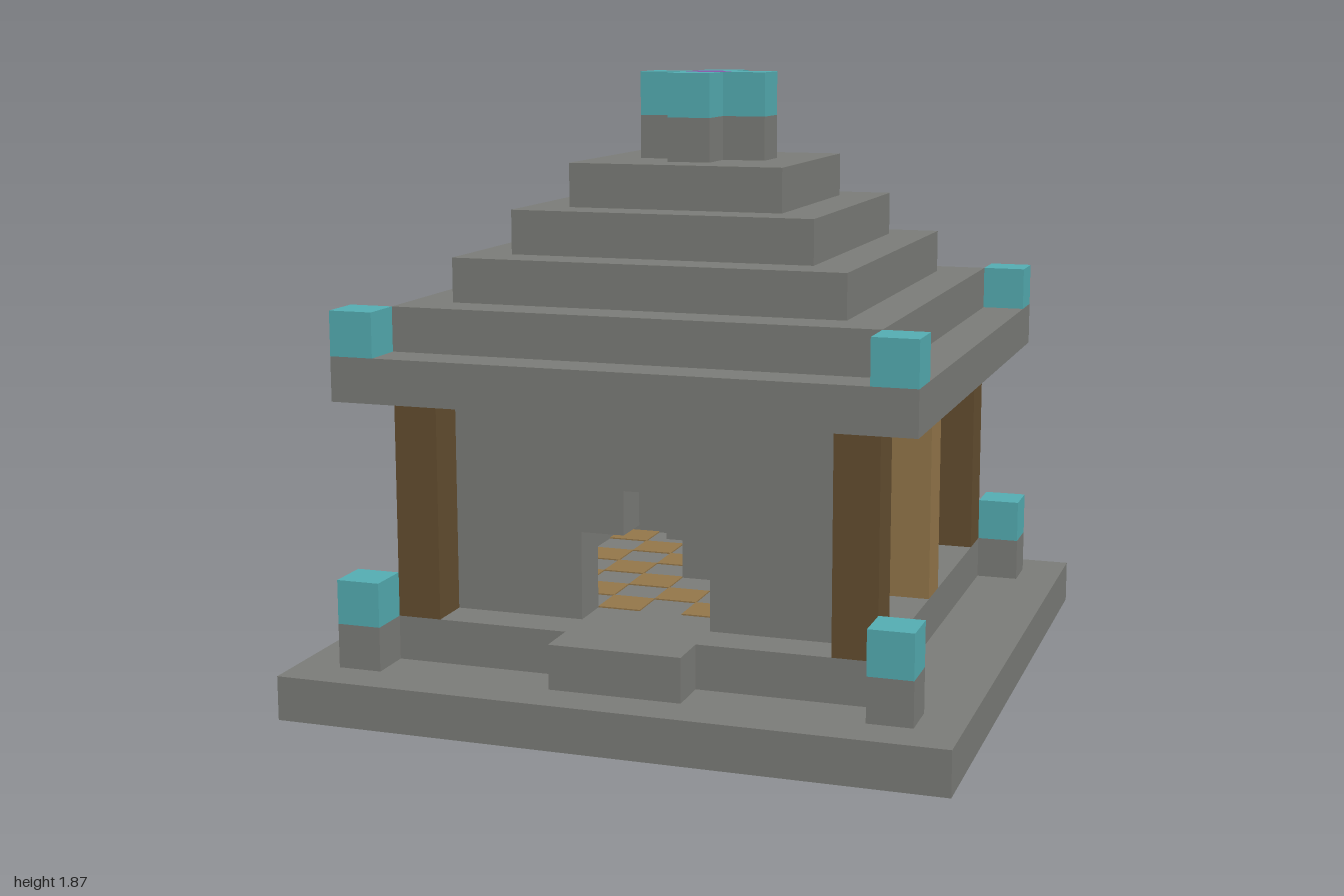
import * as THREE from 'three';

const U = 2 / 15; // one building block

const mat = (name, color) => {
  const m = new THREE.MeshStandardMaterial({ color });
  m.name = name;
  return m;
};

export function createModel() {
  const model = new THREE.Group();
  model.name = 'temple';
  const stone = mat('stone', 0x7c7d79);
  const teal = mat('teal', 0x55aeb3);
  const purple = mat('purple', 0x8757a8);
  const darkWood = mat('darkWood', 0x644e30);
  const lightWood = mat('lightWood', 0x94774a);

  // box in block units: centre x and z, bottom y, then size
  const box = (name, m, x, y, z, w, h, d, parent = model) => {
    const mesh = new THREE.Mesh(new THREE.BoxGeometry(w * U, h * U, d * U), m);
    mesh.position.set(x * U, (y + h / 2) * U, z * U);
    mesh.name = name;
    parent.add(mesh);
    return mesh;
  };
  const square = (half, Type = THREE.Shape) => new Type([
    [-half, -half], [half, -half], [half, half], [-half, half],
  ].map(([x, y]) => new THREE.Vector2(x * U, y * U)));

  // base, platform and front step
  box('base', stone, 0, 0, 0, 15, 1, 15);
  box('platform', stone, 0, 1, 0, 11, 1, 11);
  box('frontStep', stone, 0, 1, 6, 3, 1, 1);

  // corner posts, corner pillars and roof corner caps
  for (const sx of [-1, 1]) for (const sz of [-1, 1]) {
    box('cornerPost', stone, 6 * sx, 1, 6 * sz, 1, 1, 1);
    box('cornerPostCap', teal, 6 * sx, 2, 6 * sz, 1, 1, 1);
    box('cornerPillar', darkWood, 5 * sx, 2, 5 * sz, 1, 5, 1);
    box('roofCornerCap', teal, 6 * sx, 8, 6 * sz, 1, 1, 1);
  }

  // front wall with a stepped doorway
  const outline = [
    [-4.5, 2], [-1.5, 2], [-1.5, 4], [-0.5, 4], [-0.5, 5], [0.5, 5],
    [0.5, 4], [1.5, 4], [1.5, 2], [4.5, 2], [4.5, 7], [-4.5, 7],
  ].map(([x, y]) => new THREE.Vector2(x * U, y * U));
  const frontWall = new THREE.Mesh(new THREE.ExtrudeGeometry(
    new THREE.Shape(outline), { depth: U, bevelEnabled: false }), stone);
  frontWall.position.z = 3.5 * U;
  frontWall.name = 'frontWall';
  model.add(frontWall);

  // left, right and back walls, each with a middle pillar and two windows
  [['leftWall', Math.PI / 2], ['rightWall', -Math.PI / 2], ['backWall', Math.PI]].forEach(([name, angle]) => {
    const side = new THREE.Group();
    side.name = name;
    side.rotation.y = angle;
    box('wall', stone, 0, 2, 4, name === 'backWall' ? 9 : 7, 5, 1, side);
    box('middlePillar', lightWood, 0, 2, 5, 1, 5, 1, side);
    for (const s of [-1, 1]) box('window', purple, 2 * s, 3, 4.5, 1, 2, 0.04, side);
    model.add(side);
  });

  // chequered floor inside
  for (let x = -3; x <= 3; x++) for (let z = -3; z <= 3; z++) {
    if ((x + z) % 2 === 0) box('floorTile', lightWood, x, 2, z, 1, 0.03, 1);
  }

  // pedestal and crystal
  box('pedestal', stone, 0, 2, 0, 1, 2, 1);
  box('crystal', purple, 0, 4, 0, 1, 1, 1);

  // hollow stepped roof, one block thick, closed by a solid slab
  [6.5, 5.5, 4.5, 3.5].forEach((half, i) => {
    const ring = square(half);
    ring.holes.push(square(half - 1, THREE.Path));
    const geo = new THREE.ExtrudeGeometry(ring, { depth: U, bevelEnabled: false });
    geo.rotateX(-Math.PI / 2);
    const mesh = new THREE.Mesh(geo, stone);
    mesh.position.y = (7 + i) * U;
    mesh.name = 'roofStep';
    model.add(mesh);
  });
  box('roofTop', stone, 0, 11, 0, 5, 1, 5);

  // cross-shaped finial
  box('finialCore', stone, 0, 12, 0, 1, 1, 1);
  box('finialGem', purple, 0, 13, 0, 1, 1, 1);
  for (const [x, z] of [[1, 0], [-1, 0], [0, 1], [0, -1]]) {
    box('finialArm', stone, x, 12, z, 1, 1, 1);
    box('finialArmCap', teal, x, 13, z, 1, 1, 1);
  }
  return model;
}
